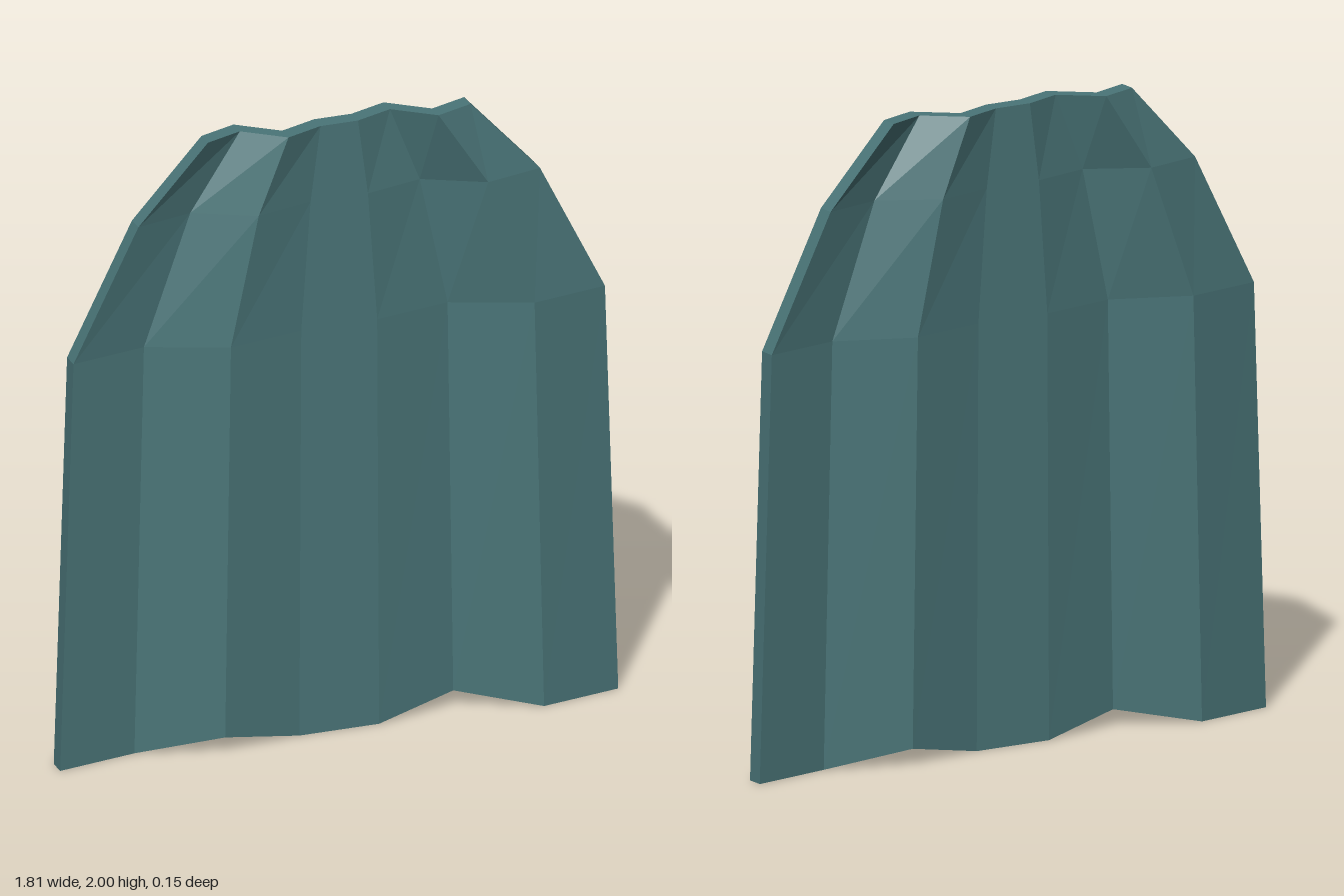
import * as THREE from 'three';

// Rows of the cloth from hem to collar: [height, half width]
const ROWS = [[0, 0.903], [1.335, 0.86], [1.755, 0.65], [2, 0.425]];
// Fold depth and hem lift for each column, from -x to +x
const FOLDS = [0, -0.048, 0.048, 0, 0, -0.048, 0.048, 0];
const HEM = [0, 0, 0.052, 0, 0, 0.052, 0, 0];
const HALF_THICKNESS = 0.028;

export function createModel() {
  const group = new THREE.Group();
  const teal = new THREE.MeshStandardMaterial({ color: 0x4a7578, flatShading: true });
  teal.name = 'teal cloth';

  const lastCol = FOLDS.length - 1;
  const lastRow = ROWS.length - 1;
  const positions = [];

  // Corner of the cloth; side is +1 for the front skin, -1 for the back
  const point = (row, col, side) => [
    ROWS[row][1] * (2 * col / lastCol - 1),
    ROWS[row][0] + (row === 0 ? HEM[col] : 0),
    FOLDS[col] + side * HALF_THICKNESS,
  ];
  // Counter-clockwise quad
  const quad = (a, b, c, d) => positions.push(...a, ...b, ...c, ...a, ...c, ...d);

  // Front and back skins
  for (let r = 0; r < lastRow; r++) {
    for (let c = 0; c < lastCol; c++) {
      quad(point(r, c, 1), point(r, c + 1, 1), point(r + 1, c + 1, 1), point(r + 1, c, 1));
      quad(point(r, c + 1, -1), point(r, c, -1), point(r + 1, c, -1), point(r + 1, c + 1, -1));
    }
    // Side edges
    quad(point(r, lastCol, 1), point(r, lastCol, -1), point(r + 1, lastCol, -1), point(r + 1, lastCol, 1));
    quad(point(r, 0, -1), point(r, 0, 1), point(r + 1, 0, 1), point(r + 1, 0, -1));
  }
  // Collar and hem edges
  for (let c = 0; c < lastCol; c++) {
    quad(point(lastRow, c, 1), point(lastRow, c + 1, 1), point(lastRow, c + 1, -1), point(lastRow, c, -1));
    quad(point(0, c, -1), point(0, c + 1, -1), point(0, c + 1, 1), point(0, c, 1));
  }

  const geometry = new THREE.BufferGeometry();
  geometry.setAttribute('position', new THREE.Float32BufferAttribute(positions, 3));
  geometry.computeVertexNormals();

  const cape = new THREE.Mesh(geometry, teal);
  cape.name = 'cape';
  group.add(cape);
  return group;
}
